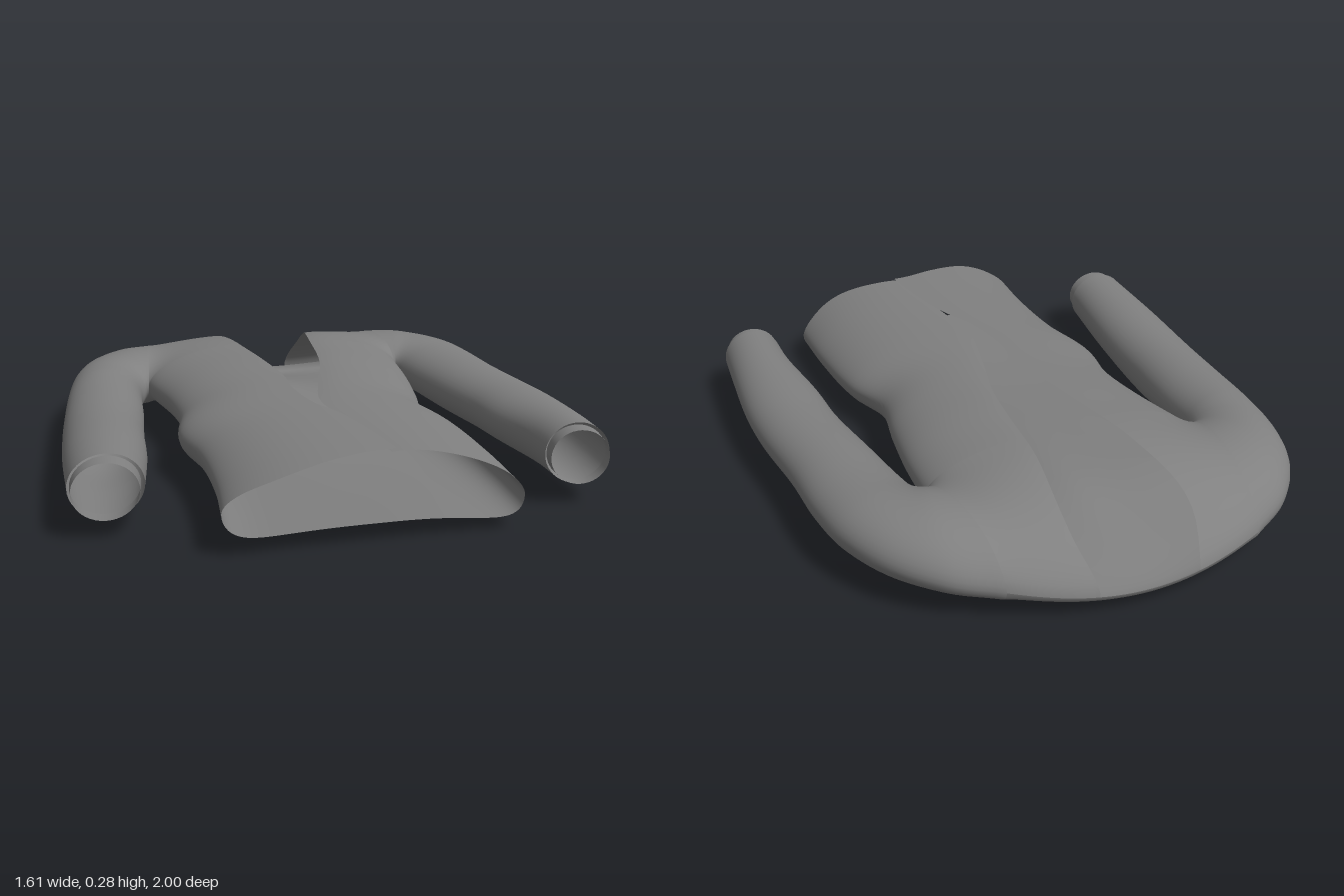
import * as THREE from 'three';
import { mergeGeometries, mergeVertices } from 'three/addons/utils/BufferGeometryUtils.js';

const { lerp, clamp } = THREE.MathUtils;
const ARC = 20;    // steps along each armhole
const LOWER = 34;  // rows from armpit to hem

// Smooth lookup through [position, value] pairs.
function lut(pairs) {
  const c = new THREE.CubicInterpolant(pairs.map(p => p[0]), pairs.map(p => p[1]), 1);
  return x => c.evaluate(clamp(x, pairs[0][0], pairs[pairs.length - 1][0]))[0];
}

// Sheet of points fn(i, j); flip reverses the facing side.
function sheet(fn, nu, nv, flip = false) {
  const pos = [], idx = [];
  for (let j = 0; j <= nv; j++) for (let i = 0; i <= nu; i++) pos.push(...fn(i / nu, j));
  for (let j = 0; j < nv; j++) for (let i = 0; i < nu; i++) {
    const a = j * (nu + 1) + i, b = a + 1, c = a + nu + 1, d = c + 1;
    idx.push(...(flip ? [a, b, c, b, d, c] : [a, c, b, b, c, d]));
  }
  const g = new THREE.BufferGeometry();
  g.setAttribute('position', new THREE.Float32BufferAttribute(pos, 3));
  g.setIndex(idx);
  return g;
}

// Height of the garment's middle layer, falling toward the shoulders.
const mid = lut([[-1, 0.065], [-0.91, 0.107], [-0.8, 0.142], [-0.6, 0.167], [-0.3, 0.167], [0.3, 0.162], [1, 0.16]]);
const fullness = lut([[-0.43, 0.122], [-0.2, 0.119], [0, 0.112], [0.4, 0.106], [1, 0.1]]);
const frontHem = lut([[-0.43, 0.96], [-0.3, 1], [-0.1, 0.95], [0, 0.92], [0.1, 0.92], [0.3, 0.94], [0.43, 0.9]]);
const backHem = x => 0.93 - 0.07 * x;

// Side seams and front opening edges, for the right (-1) and left (+1) halves.
const side = {
  '-1': lut([[-0.43, 0.46], [-0.2, 0.42], [0, 0.41], [0.2, 0.44], [0.4, 0.41], [0.7, 0.41], [0.93, 0.43]]),
  '1': lut([[-0.43, 0.46], [-0.2, 0.44], [0, 0.41], [0.2, 0.375], [0.4, 0.42], [0.7, 0.435], [0.93, 0.43]])
};
const opening = {
  '-1': lut([[-0.98, -0.16], [-0.87, -0.197], [-0.6, -0.16], [-0.2, -0.1], [0.05, -0.07], [0.2, -0.075],
    [0.4, -0.05], [0.55, 0], [0.75, 0.035], [0.93, 0.055]]),
  '1': lut([[-0.98, 0.155], [-0.87, 0.182], [-0.5, 0.14], [-0.1, 0.09], [0.05, 0.05], [0.2, 0.01],
    [0.35, -0.02], [0.55, -0.005], [0.75, 0.02], [0.93, 0.04]])
};

// Row j: t runs from shoulder to armpit, s from armpit to hem.
function rowAt(j) {
  const t = j < ARC ? (1 - Math.cos(Math.PI * j / ARC)) / 2 : 1;
  const s = j > ARC ? (j - ARC) / LOWER : 0;
  const z = s > 0 ? lerp(-0.43, 0.93, s) : lerp(-0.98, -0.43, t);
  return { t, s, z };
}
const outer = (sign, r) => sign * (r.s > 0 ? side[sign](r.z) : lerp(0.40, 0.46, r.t));

// Point on the torso: front sheet above, back sheet below.
function torsoPoint(x, r, sign, front) {
  const u = clamp(x / outer(sign, r), 0, 1);
  const arm = -0.43 - 0.03 * sign * u;
  const hem = front ? frontHem(x) : lerp(backHem(x), frontHem(x), u ** 8);
  const z = r.s > 0 ? lerp(arm, hem, r.s) : lerp(-1 + 0.09 * u * u, arm, r.t);
  // squared thickness fades from the centre to the armhole or side seam
  const edge = 0.04 * r.t * (1 - r.t);
  const centre = fullness(z) ** 2 * r.t * (2 - r.t);
  const n = (front ? 2.6 - 0.6 * r.s : 6) + 10 * (1 - r.t) ** 2;
  const gap = Math.sqrt(Math.max(0, centre * (1 - u ** n) + edge * u ** (n + 8 * r.t * r.t)));
  // side seams sink toward the hem, and the right shoulder lies lower
  const sink = (sign > 0 ? 0.06 * r.s : 0.02 + 0.015 * r.s) * u ** 3;
  let y = mid(z) - sink + (front ? gap : -gap);
  if (!front) {
    // upper back arches up, most along the spine
    const arch = 0.055 * (1 - u ** 4) + 0.02 * Math.exp(-((x / 0.1) ** 2));
    y += arch * r.t * (2 - r.t) * Math.exp(-(((z + 0.4) / 0.5) ** 2));
  }
  return [x, y, z];
}

function frontPanel(sign) {
  return sheet((u, j) => {
    const r = rowAt(j);
    const f = sign > 0 ? u : 1 - u;
    // columns gather toward the side seam, where the cloth curls under
    const x = lerp(opening[sign](r.z), outer(sign, r), Math.sin(f * Math.PI / 2));
    const p = torsoPoint(x, r, sign, true);
    // the left edge tucks under the right one
    if (sign > 0) p[1] -= 0.008 * r.t * Math.exp(-f * 12) * (1 - f);
    return p;
  }, 24, ARC + LOWER);
}

function backPanel() {
  return sheet((u, j) => {
    const r = rowAt(j);
    const f = -Math.cos(u * Math.PI);
    const sign = f < 0 ? -1 : 1;
    return torsoPoint(outer(sign, r) * Math.abs(f), r, sign, false);
  }, 44, ARC + LOWER, true);
}

// Sleeve sections: inner x, z; outer x, z; lift; half thickness.
const sleeves = {
  '-1': [
    [0.46, -0.40, 0.40, -0.91, -0.02, 0.10], [0.465, -0.40, 0.54, -0.83, -0.022, 0.10],
    [0.47, -0.39, 0.65, -0.70, -0.03, 0.10], [0.475, -0.38, 0.71, -0.54, -0.035, 0.101],
    [0.49, -0.34, 0.745, -0.34, -0.038, 0.102], [0.51, -0.12, 0.77, -0.12, -0.045, 0.1],
    [0.535, 0.12, 0.79, 0.10, -0.052, 0.106], [0.557, 0.40, 0.805, 0.40, -0.035, 0.1],
    [0.595, 0.69, 0.81, 0.70, -0.02, 0.092]],
  '1': [
    [0.46, -0.46, 0.40, -0.91, 0, 0.10], [0.465, -0.46, 0.55, -0.84, 0, 0.10],
    [0.47, -0.45, 0.67, -0.72, -0.008, 0.10], [0.475, -0.43, 0.75, -0.55, -0.014, 0.098],
    [0.485, -0.36, 0.775, -0.38, -0.017, 0.095], [0.51, -0.15, 0.78, -0.15, -0.02, 0.095],
    [0.54, 0.10, 0.80, 0.10, -0.02, 0.093], [0.547, 0.30, 0.803, 0.28, -0.015, 0.092],
    [0.573, 0.55, 0.78, 0.57, -0.01, 0.092], [0.572, 0.70, 0.765, 0.72, -0.01, 0.092]]
};
const cuffs = {
  '-1': [[0.605, 0.68, 0.802, 0.69, -0.02, 0.083], [0.615, 0.75, 0.803, 0.75, -0.02, 0.081]],
  '1': [[0.58, 0.69, 0.757, 0.71, -0.01, 0.083], [0.572, 0.745, 0.745, 0.766, -0.01, 0.081]]
};

// Tube of oval sections spanning inner to outer points.
function tube(rows, sign, steps) {
  const inner = new THREE.CatmullRomCurve3(rows.map(r => new THREE.Vector3(r[0], r[4], r[1])));
  const outerLine = new THREE.CatmullRomCurve3(rows.map(r => new THREE.Vector3(r[2], r[5], r[3])));
  return sheet((u, j) => {
    const a = inner.getPoint(j / steps), b = outerLine.getPoint(j / steps);
    const angle = u * Math.PI * 2, k = (1 - Math.cos(angle)) / 2;
    const z = lerp(a.z, b.z, k);
    return [sign * lerp(a.x, b.x, k), mid(z) + a.y + b.y * Math.sin(angle), z];
  }, ARC * 2, steps, sign < 0);
}

export function createModel() {
  const group = new THREE.Group();
  group.name = 'jacket';
  const material = new THREE.MeshStandardMaterial({ color: 0x808080, side: THREE.DoubleSide });
  const add = (name, geometry) => {
    const mesh = new THREE.Mesh(geometry, material);
    mesh.name = name;
    group.add(mesh);
  };

  // Panels are welded so shading flows across the seams, then split by index.
  const parts = [
    ['rightFront', frontPanel(-1)], ['leftFront', frontPanel(1)], ['back', backPanel()],
    ['rightSleeve', tube(sleeves[-1], -1, 56)], ['leftSleeve', tube(sleeves[1], 1, 56)]
  ];
  const welded = mergeVertices(mergeGeometries(parts.map(p => p[1])), 1e-4);
  welded.computeVertexNormals();
  let start = 0;
  for (const [name, g] of parts) {
    const piece = new THREE.BufferGeometry();
    piece.setAttribute('position', welded.attributes.position);
    piece.setAttribute('normal', welded.attributes.normal);
    piece.setIndex(Array.from(welded.index.array.slice(start, start + g.index.count)));
    start += g.index.count;
    add(name, piece);
  }

  // Narrower cuffs inside the sleeve ends.
  for (const sign of [-1, 1]) {
    const cuff = tube(cuffs[sign], sign, 4);
    cuff.computeVertexNormals();
    add(sign < 0 ? 'rightCuff' : 'leftCuff', cuff);
  }
  return group;
}
